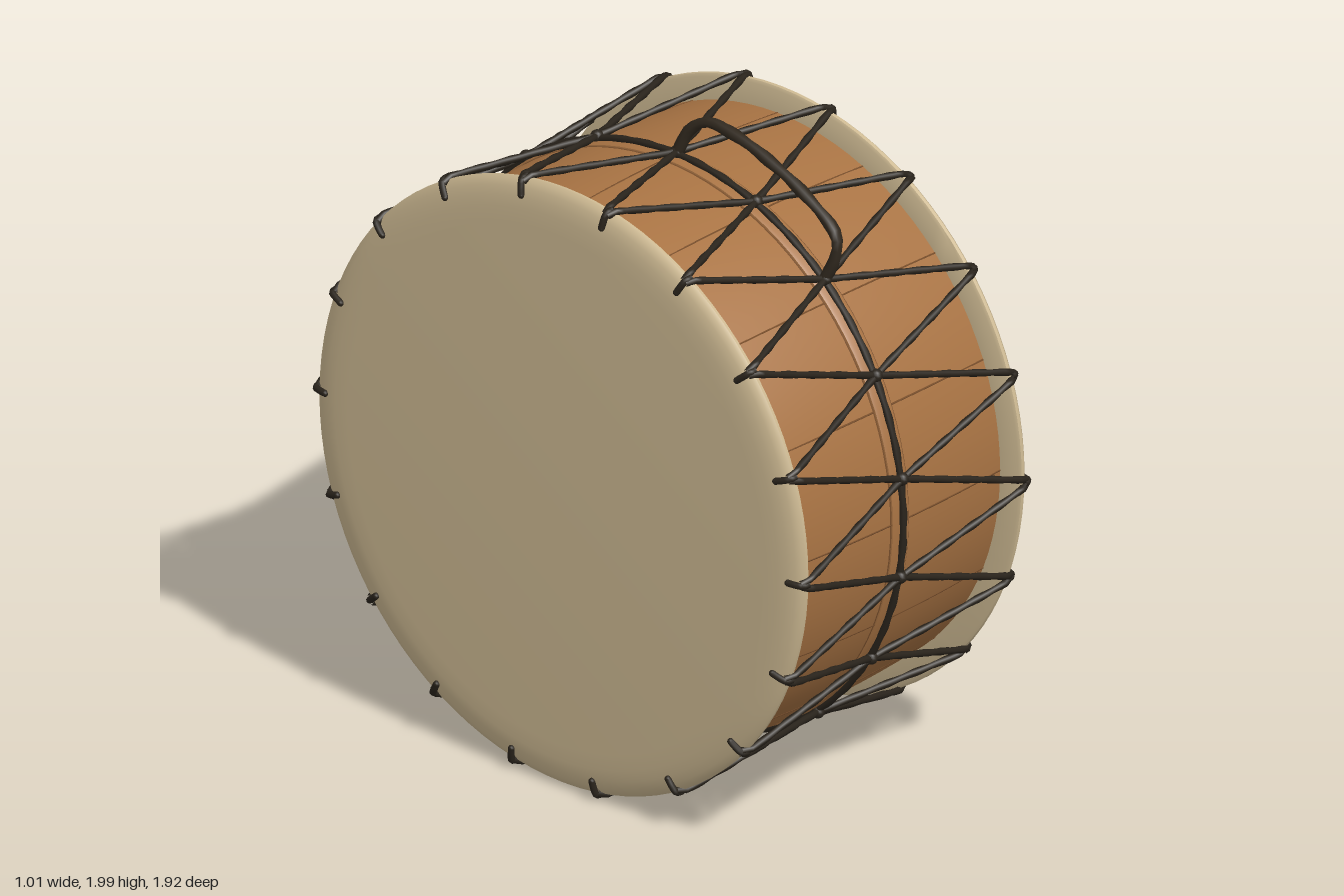
import * as THREE from 'three';
import { toCreasedNormals } from 'three/addons/utils/BufferGeometryUtils.js';

const CENTRE_Y = 0.96;
const LACES = 18;
const STAVES = 16;
const FIRST_LACE = -1.2; // degrees, measured from +z towards +y

const material = (name, color) => {
  const m = new THREE.MeshStandardMaterial({ color });
  m.name = name;
  return m;
};

// Point around the drum's x axis: offset along the axis, radius, angle in degrees
const around = (x, r, deg) => {
  const a = THREE.MathUtils.degToRad(deg);
  return new THREE.Vector3(x, CENTRE_Y + r * Math.sin(a), r * Math.cos(a));
};

// Radius of the gently barrelled shell at x
const shellRadius = (x) => 0.885 - 0.095 * x * x;

// Tube with a two-strand twist pressed into its surface
function ropeGeometry(curve, radius, closed = false) {
  const length = curve.getLength();
  const segments = Math.max(6, Math.ceil(length / (radius * 1.6)));
  const geo = new THREE.TubeGeometry(curve, segments, radius, 8, closed);
  const { position: p, normal: n, uv } = geo.attributes;
  const turns = Math.round(length / (radius * 9));
  for (let i = 0; i < p.count; i++) {
    const wave = Math.cos(2 * Math.PI * (2 * uv.getY(i) - turns * uv.getX(i)));
    const d = radius * 0.14 * wave;
    p.setXYZ(i, p.getX(i) + n.getX(i) * d, p.getY(i) + n.getY(i) * d, p.getZ(i) + n.getZ(i) * d);
  }
  return geo;
}

export function createModel() {
  const drum = new THREE.Group();
  drum.name = 'drum';
  const wood = material('warm wood', 0xa87343);
  const seamWood = material('seam wood', 0x7c512d);
  const hide = material('pale hide', 0xcdb992);
  const cord = material('dark cord', 0x2a241c);
  const leather = material('dark handle', 0x30281e);

  const add = (name, geometry, mat, parent = drum) => {
    const mesh = new THREE.Mesh(geometry, mat);
    mesh.name = name;
    parent.add(mesh);
    return mesh;
  };
  const lathe = (points, sides = 96) =>
    new THREE.LatheGeometry(points.map(([x, r]) => new THREE.Vector2(r, x)), sides);

  // Barrelled wooden shell
  const profile = [];
  for (let i = 0; i <= 12; i++) {
    const x = -0.46 + (0.92 * i) / 12;
    profile.push([x, shellRadius(x)]);
  }
  const shell = add('shell', lathe(profile), wood);
  shell.rotation.z = -Math.PI / 2;
  shell.position.y = CENTRE_Y;

  // Raised band round the middle
  const band = add('middleBand', toCreasedNormals(lathe([
    [-0.036, 0.88], [-0.034, 0.889], [-0.026, 0.893], [0.026, 0.893], [0.034, 0.889], [0.036, 0.88],
  ]), 0.7), wood);
  band.rotation.z = -Math.PI / 2;
  band.position.y = CENTRE_Y;

  // Fine lines on both edges of the band
  for (const side of [-1, 1]) {
    const edge = add('bandEdge', new THREE.TorusGeometry(0.883, 0.0035, 6, 96), seamWood);
    edge.rotation.y = Math.PI / 2;
    edge.position.set(side * 0.037, CENTRE_Y, 0);
  }

  // Seams between the staves
  const seams = new THREE.Group();
  seams.name = 'staveSeams';
  drum.add(seams);
  for (let i = 0; i < STAVES; i++) {
    const deg = (i * 360) / STAVES;
    const points = [-0.455, -0.23, 0, 0.23, 0.455].map((x) => around(x, shellRadius(x) - 0.0015, deg));
    add('staveSeam', new THREE.TubeGeometry(new THREE.CatmullRomCurve3(points), 12, 0.0035, 5), seamWood, seams);
  }

  // Heads with a rounded shoulder and an overhanging rim
  const headProfile = [
    [0.453, 0.84], [0.453, 0.936], [0.458, 0.945], [0.468, 0.946], [0.478, 0.938],
    [0.487, 0.92], [0.494, 0.893], [0.498, 0.86], [0.5, 0.81], [0.5, 0],
  ];
  for (const side of [-1, 1]) {
    const head = add(side > 0 ? 'leftHead' : 'rightHead',
      toCreasedNormals(lathe(headProfile), 0.7), hide);
    head.rotation.z = (-side * Math.PI) / 2;
    head.position.y = CENTRE_Y;
  }

  // Cord running round the middle
  const ring = [];
  for (let i = 0; i < 36; i++) ring.push(around(0, 0.899, i * 10));
  add('middleCord', ropeGeometry(new THREE.CatmullRomCurve3(ring, true), 0.011, true), cord);

  // Zigzag lacing, rim hooks and knots
  const lacing = new THREE.Group();
  lacing.name = 'lacing';
  drum.add(lacing);
  for (let i = 0; i < LACES; i++) {
    const deg = FIRST_LACE + (i * 360) / LACES;
    const half = 180 / LACES;
    for (const side of [-1, 1]) {
      for (const turn of [-1, 1]) {
        const strand = new THREE.CurvePath();
        const a = around(0, 0.905, deg + turn * half);
        const b = around(side * 0.455, 0.951, deg + turn * 0.9);
        const c = around(side * 0.486, 0.94, deg + turn * 0.3);
        strand.add(new THREE.LineCurve3(a, b));
        strand.add(new THREE.LineCurve3(b, c));
        add('lace', ropeGeometry(strand, 0.0105), cord, lacing);
      }
      const hook = new THREE.CatmullRomCurve3([
        around(side * 0.462, 0.95, deg), around(side * 0.484, 0.946, deg),
        around(side * 0.492, 0.925, deg), around(side * 0.496, 0.9, deg),
      ]);
      add('rimHook', new THREE.TubeGeometry(hook, 8, 0.0105, 8), cord, lacing);
      const tip = add('hookTip', new THREE.SphereGeometry(0.0105, 8, 6), cord, lacing);
      tip.position.copy(around(side * 0.496, 0.9, deg));
    }
    const knot = add('knot', new THREE.SphereGeometry(0.02, 12, 8), cord, lacing);
    knot.position.copy(around(0, 0.905, deg + half));
  }

  // Carrying handle tied between two knots
  const handle = new THREE.CatmullRomCurve3([
    around(0, 0.9, 48.8),
    new THREE.Vector3(0.012, 1.71, 0.622),
    new THREE.Vector3(0.02, 1.775, 0.622),
    new THREE.Vector3(0.027, 1.845, 0.53),
    new THREE.Vector3(0.031, 1.925, 0.36),
    new THREE.Vector3(0.031, 1.972, 0.2),
    new THREE.Vector3(0.027, 1.978, 0.11),
    new THREE.Vector3(0.015, 1.94, 0.055),
    around(0, 0.9, 88.8),
  ]);
  add('handle', ropeGeometry(handle, 0.0175), leather);

  return drum;
}
